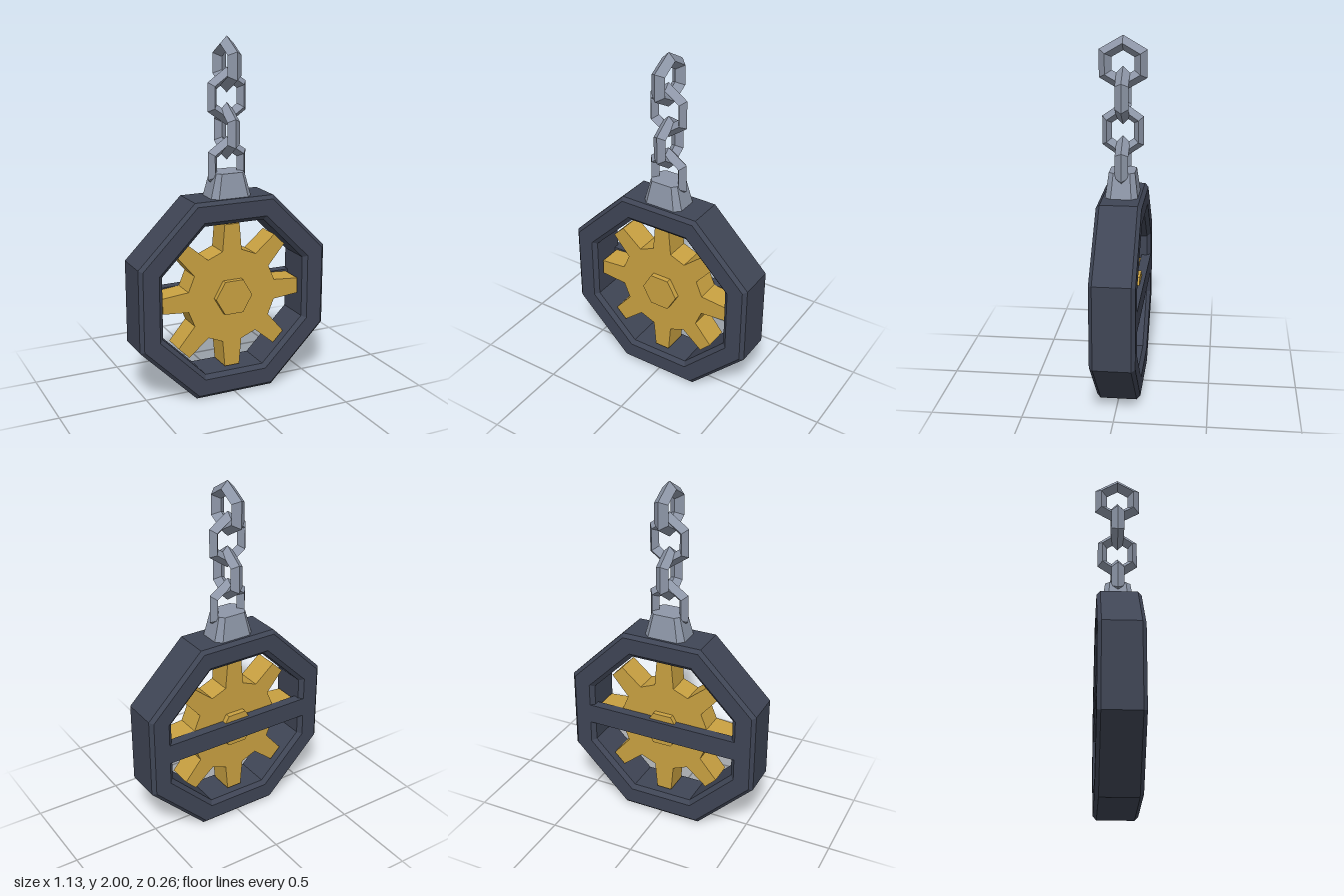
import * as THREE from 'three';

const CENTRE_Y = 0.567;

const material = (name, color) => {
  const m = new THREE.MeshStandardMaterial({ color });
  m.name = name;
  return m;
};

// Split shared vertices so every facet is flat
function faceted(geometry) {
  const g = geometry.index ? geometry.toNonIndexed() : geometry;
  g.computeVertexNormals();
  return g;
}

// Octagonal ring with chamfered edges, as an eight-sided closed lathe
function frameGeometry() {
  const k = 1 / Math.cos(Math.PI / 8);
  const profile = [
    [0.567, -0.102], [0.567, 0.102], [0.547, 0.122], [0.455, 0.122],
    [0.431, 0.1], [0.431, -0.1], [0.455, -0.122], [0.547, -0.122], [0.567, -0.102],
  ].map(([r, z]) => new THREE.Vector2(r * k, z));
  return faceted(new THREE.LatheGeometry(profile, 8, Math.PI / 8).rotateX(Math.PI / 2));
}

// Eight tapered teeth around a flat disc
function gearGeometry(depth) {
  const points = [];
  for (let i = 0; i < 8; i++) {
    const a = (i * Math.PI) / 4;
    for (const [r, t] of [[0.265, -0.058], [0.418, -0.045], [0.418, 0.045], [0.265, 0.058]]) {
      points.push(new THREE.Vector2(r * Math.cos(a) - t * Math.sin(a), r * Math.sin(a) + t * Math.cos(a)));
    }
  }
  return new THREE.ExtrudeGeometry(new THREE.Shape(points), { depth, bevelEnabled: false })
    .translate(0, 0, -depth / 2);
}

// Tapered block with cut corners
function mountGeometry() {
  const w = 0.122, d = 0.09, c = 0.033, h = 0.145;
  const shape = new THREE.Shape([
    [w, -d + c], [w, d - c], [w - c, d], [-w + c, d],
    [-w, d - c], [-w, -d + c], [-w + c, -d], [w - c, -d],
  ].map(([x, y]) => new THREE.Vector2(x, y)));
  const g = new THREE.ExtrudeGeometry(shape, { depth: h, bevelEnabled: false }).rotateX(-Math.PI / 2);
  const p = g.attributes.position;
  for (let i = 0; i < p.count; i++) {
    if (p.getY(i) > h / 2) p.setXYZ(i, p.getX(i) * 0.69, h, p.getZ(i) * 0.79);
  }
  return faceted(g);
}

// Six-sided chain link with a diamond section
function linkGeometry(radius, tube, narrow, turned) {
  const g = new THREE.TorusGeometry(radius, tube, 4, 6).rotateZ(Math.PI / 2).scale(narrow, 1, 1);
  if (turned) g.rotateY(Math.PI / 2);
  return faceted(g);
}

export function createModel() {
  const model = new THREE.Group();
  const iron = material('dark iron', 0x3f4555);
  const brass = material('brass', 0xc9a141);
  const steel = material('steel', 0x8e97a8);

  const add = (name, geometry, mat, y) => {
    const mesh = new THREE.Mesh(geometry, mat);
    mesh.name = name;
    mesh.position.y = y;
    model.add(mesh);
  };

  add('frame', frameGeometry(), iron, CENTRE_Y);
  add('backBar', new THREE.BoxGeometry(0.92, 0.115, 0.055).translate(0, 0, -0.0945), iron, CENTRE_Y);

  add('gear', gearGeometry(0.14), brass, CENTRE_Y);
  const hub = new THREE.CylinderGeometry(0.111, 0.111, 0.2, 6).rotateY(Math.PI / 6).rotateX(Math.PI / 2);
  add('hub', faceted(hub), brass, CENTRE_Y);

  add('mount', mountGeometry(), steel, 1.125);

  // Chain from the top ring down, each link turned a quarter
  add('topRing', linkGeometry(0.11, 0.04, 1, true), steel, 1.85);
  [1.68, 1.49, 1.305].forEach((y, i) => {
    add('chainLink' + (i + 1), linkGeometry(0.12, 0.037, 0.83, i % 2 === 1), steel, y);
  });

  return model;
}
